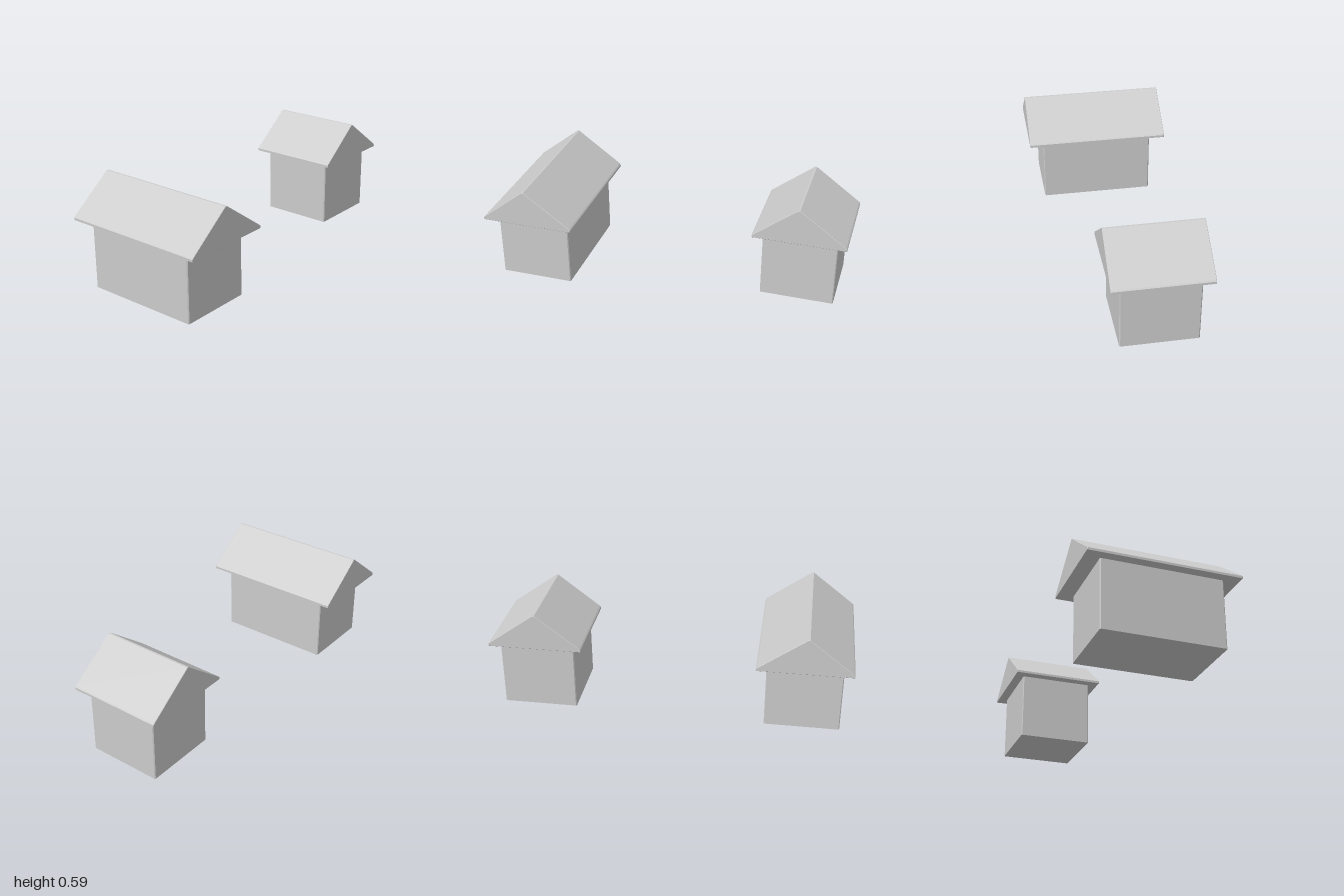
import * as THREE from 'three';

const material = new THREE.MeshStandardMaterial({ color: 0xcccccc, flatShading: true });

// Extrude an outline along z with a slim chamfer kept inside the given size
function chamferedPrism(points, depth, chamfer) {
  const shape = new THREE.Shape(points.map(([x, y]) => new THREE.Vector2(x, y)));
  const geometry = new THREE.ExtrudeGeometry(shape, {
    depth: depth - 2 * chamfer,
    bevelEnabled: true,
    bevelThickness: chamfer,
    bevelSize: chamfer,
    bevelOffset: -chamfer,
    bevelSegments: 1,
  });
  return geometry.translate(0, 0, chamfer - depth / 2);
}

// Walls: box with chamfered upright corners
function walls(width, height, depth) {
  const w = width / 2, d = depth / 2, c = 0.005;
  const shape = new THREE.Shape([
    [-w + c, -d], [w - c, -d], [w, -d + c], [w, d - c],
    [w - c, d], [-w + c, d], [-w, d - c], [-w, -d + c],
  ].map(([x, y]) => new THREE.Vector2(x, y)));
  const geometry = new THREE.ExtrudeGeometry(shape, { depth: height, bevelEnabled: false });
  const mesh = new THREE.Mesh(geometry.rotateX(-Math.PI / 2), material);
  mesh.name = 'walls';
  return mesh;
}

// Gable roof: short upright eaves, narrow flat ridge slightly off centre
function gableRoof(left, right, ridge, depth) {
  const outline = [
    [left, 0.384], [right, 0.384], [right, 0.397], [right - 0.006, 0.404],
    [ridge + 0.005, 0.591], [ridge - 0.005, 0.591],
    [left + 0.006, 0.404], [left, 0.397],
  ];
  const mesh = new THREE.Mesh(chamferedPrism(outline, depth, 0.002), material);
  mesh.name = 'roof';
  return mesh;
}

function house({ name, x, z, wallDepth, roofDepth }) {
  const group = new THREE.Group();
  group.name = name;
  group.add(walls(0.415, 0.386, wallDepth), gableRoof(-0.26, 0.26, -0.009, roofDepth));
  group.position.set(x, 0, z);
  return group;
}

export function createModel() {
  const model = new THREE.Group();
  model.name = 'twoHouses';
  model.add(
    house({ name: 'longHouse', x: -0.74, z: 0, wallDepth: 0.662, roofDepth: 0.828 }),
    house({ name: 'shortHouse', x: 0.74, z: -0.095, wallDepth: 0.422, roofDepth: 0.528 }),
  );
  return model;
}
